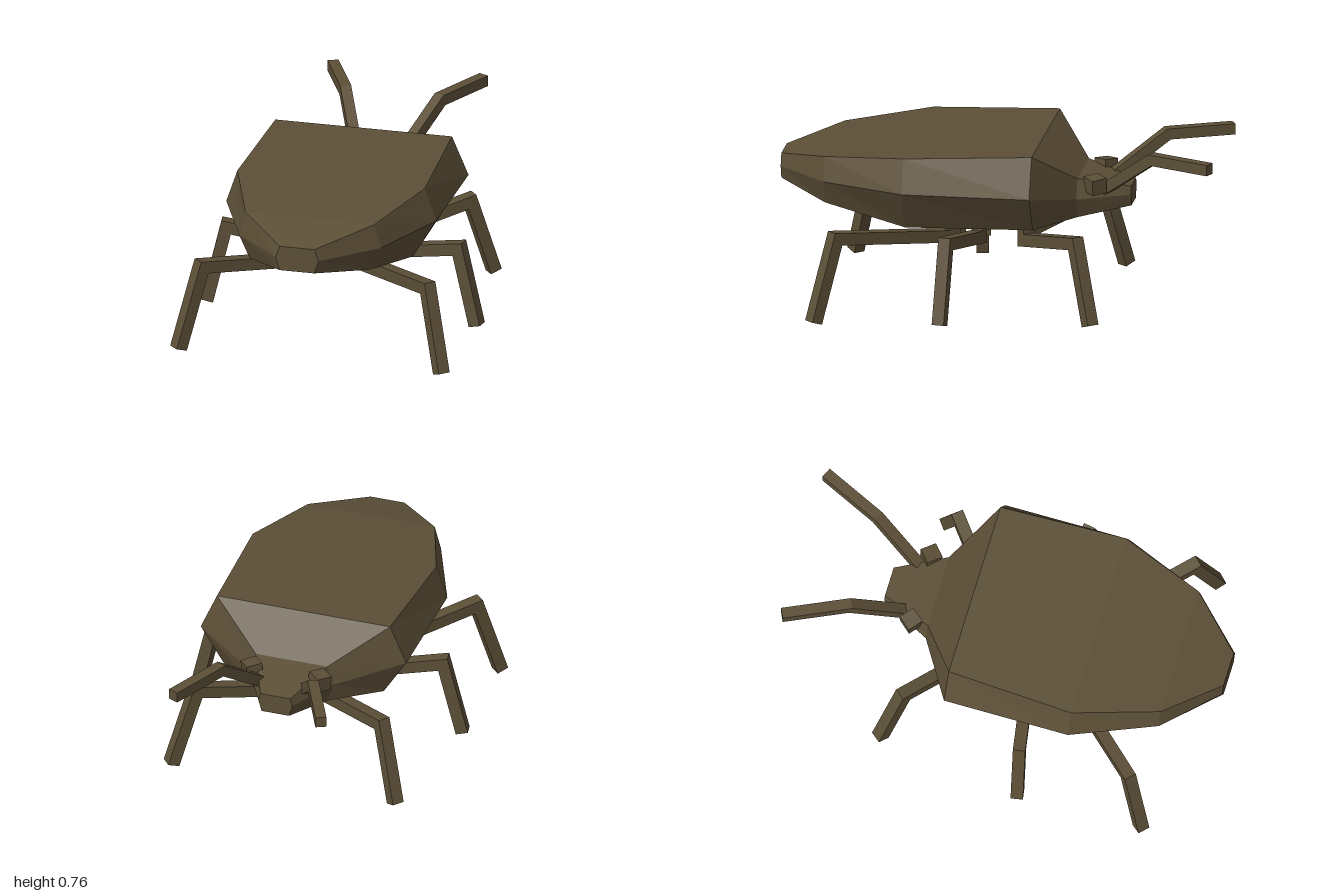
import * as THREE from 'three';

const V = (x, y, z) => new THREE.Vector3(x, y, z);

// Skin a list of equal-length rings, cap both ends, and make the faces point outwards
function loft(rings) {
  const tris = [];
  const n = rings[0].length;
  for (let i = 0; i < rings.length - 1; i++) {
    for (let j = 0; j < n; j++) {
      const k = (j + 1) % n;
      const a = rings[i][j], b = rings[i][k], c = rings[i + 1][k], d = rings[i + 1][j];
      tris.push([a, b, c], [a, c, d]);
    }
  }
  const first = rings[0], last = rings[rings.length - 1];
  for (let j = 1; j < n - 1; j++) {
    tris.push([first[0], first[j + 1], first[j]], [last[0], last[j], last[j + 1]]);
  }
  let volume = 0;
  for (const [a, b, c] of tris) volume += a.dot(b.clone().cross(c));
  const pos = [];
  for (const [a, b, c] of tris) {
    for (const p of volume > 0 ? [a, b, c] : [a, c, b]) pos.push(p.x, p.y, p.z);
  }
  const g = new THREE.BufferGeometry();
  g.setAttribute('position', new THREE.Float32BufferAttribute(pos, 3));
  g.computeVertexNormals();
  return g;
}

// Square bar with mitred bends, following a path that lies in an upright plane
function bar(points, width) {
  const h = width / 2;
  const span = points[points.length - 1].clone().sub(points[0]).setY(0).normalize();
  const side = V(-span.z, 0, span.x);
  const dirs = points.slice(1).map((p, i) => p.clone().sub(points[i]).normalize());
  const rings = points.map((p, i) => {
    const before = dirs[Math.max(i - 1, 0)], after = dirs[Math.min(i, dirs.length - 1)];
    const tangent = before.clone().add(after).normalize();
    const up = side.clone().cross(tangent).normalize().multiplyScalar(h / tangent.dot(after));
    return [[1, 1], [-1, 1], [-1, -1], [1, -1]].map(([s, u]) =>
      p.clone().addScaledVector(side, s * h).addScaledVector(up, u));
  });
  return loft(rings);
}

export function createModel() {
  const model = new THREE.Group();
  model.name = 'beetle';
  const brown = new THREE.MeshStandardMaterial({ color: 0x5c4f37 });
  brown.name = 'shellBrown';
  brown.flatShading = true;

  const add = (name, geometry) => {
    const mesh = new THREE.Mesh(geometry, brown);
    mesh.name = name;
    model.add(mesh);
    return mesh;
  };

  // Six-sided section: z, top (half width, y), ridge (half width, y), bottom (half width, y)
  const section = ([z, tw, ty, mw, my, bw, by]) => [
    V(tw, ty, z), V(mw, my, z), V(bw, by, z), V(-bw, by, z), V(-mw, my, z), V(-tw, ty, z)];

  // Body, from the tail to the neck
  const neck = [-0.36, 0.17, 0.61, 0.2, 0.52, 0.17, 0.43];
  add('body', loft([
    [1.0, 0.08, 0.645, 0.1, 0.59, 0.08, 0.53],
    [0.77, 0.3, 0.7, 0.33, 0.59, 0.28, 0.48],
    [0.39, 0.435, 0.743, 0.487, 0.59, 0.38, 0.408],
    [-0.19, 0.41, 0.768, 0.487, 0.59, 0.38, 0.42],
    neck,
  ].map(section)));

  // Head
  add('head', loft([neck, [-0.59, 0.07, 0.557, 0.08, 0.52, 0.065, 0.466]].map(section)));

  // Paired parts
  for (const [label, s] of [['left', 1], ['right', -1]]) {
    const eye = add(label + 'Eye', new THREE.BoxGeometry(0.075, 0.07, 0.075));
    eye.position.set(s * 0.16, 0.583, -0.44);
    eye.rotation.set(0.1, s * 0.7, s * -0.15);

    add(label + 'Antenna', bar([
      V(s * 0.11, 0.55, -0.475), V(s * 0.22, 0.73, -0.71), V(s * 0.35, 0.73, -0.99)], 0.05));

    // Each leg: hip, knee and foot
    const legs = {
      FrontLeg: [[0.1, -0.115], [0.44, -0.395], [0.53, -0.475]],
      MiddleLeg: [[0.08, 0.1], [0.54, 0.18], [0.625, 0.195]],
      RearLeg: [[0.08, 0.225], [0.525, 0.685], [0.61, 0.77]],
    };
    for (const [name, [hip, knee, foot]] of Object.entries(legs)) {
      const footY = name === 'RearLeg' ? 0.012 : 0.028;
      add(label + name, bar([
        V(s * hip[0], 0.46, hip[1]), V(s * hip[0], 0.295, hip[1]),
        V(s * knee[0], 0.385, knee[1]), V(s * foot[0], footY, foot[1])], 0.056));
    }
  }
  return model;
}
